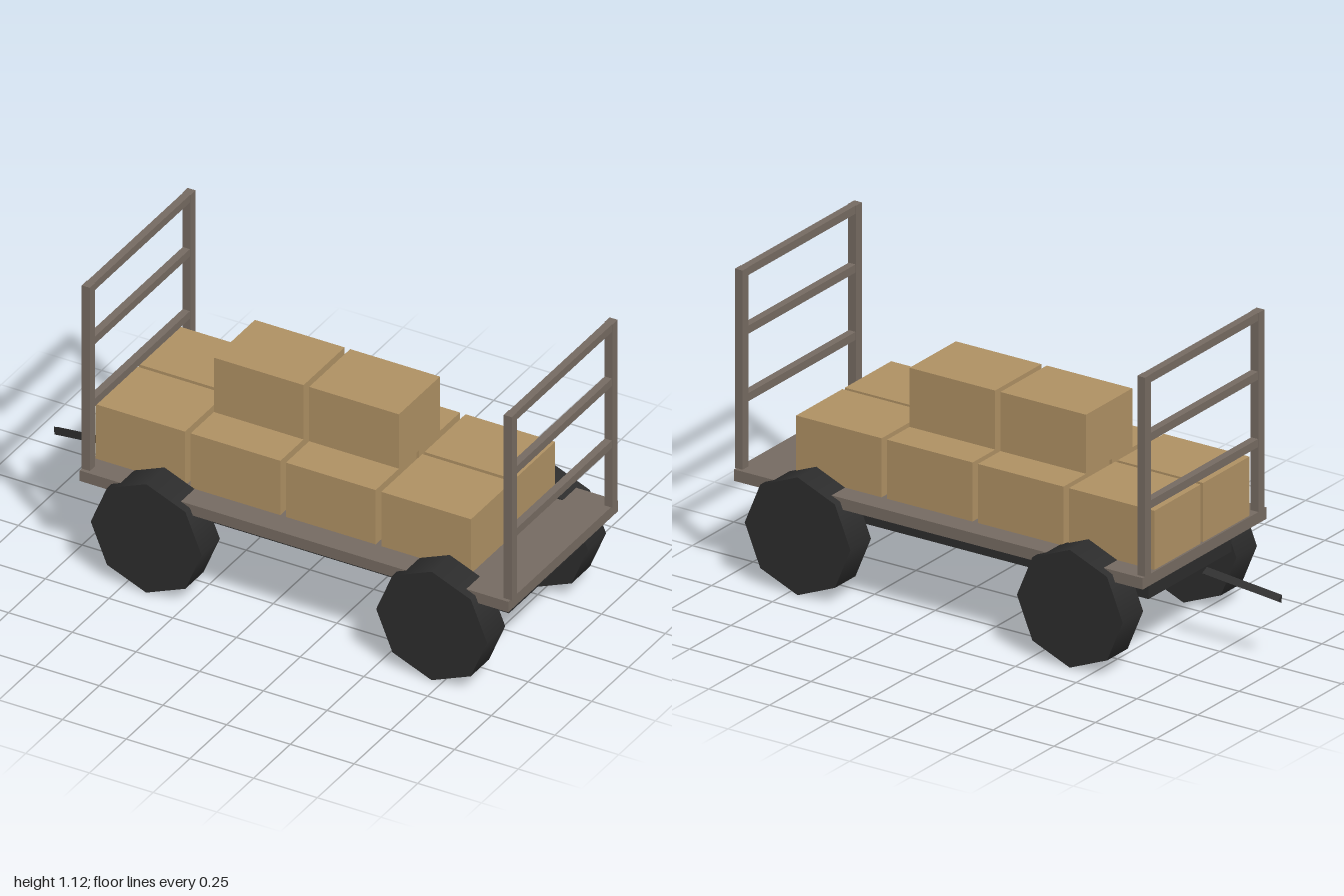
import * as THREE from 'three';

function material(name, color) {
  const m = new THREE.MeshStandardMaterial({ color });
  m.name = name;
  return m;
}

export function createModel() {
  const frameGrey = material('frame grey brown', 0x756a61);
  const cardboard = material('cardboard tan', 0xae9063);
  const dark = material('dark rubber', 0x2c2c2c);

  const cart = new THREE.Group();
  cart.name = 'luggageCart';

  // Box given by its minimum and maximum on each axis
  function box(name, mat, [x0, x1], [y0, y1], [z0, z1], parent = cart) {
    const mesh = new THREE.Mesh(new THREE.BoxGeometry(x1 - x0, y1 - y0, z1 - z0), mat);
    mesh.position.set((x0 + x1) / 2, (y0 + y1) / 2, (z0 + z1) / 2);
    mesh.name = name;
    parent.add(mesh);
  }

  // Deck and chassis
  box('deck', frameGrey, [-0.688, 0.994], [0.344, 0.386], [-0.374, 0.374]);
  box('chassis', dark, [-0.627, 0.925], [0.251, 0.344], [-0.25, 0.25]);

  // Ladder-like end rails
  for (const [name, x] of [['rearRail', -0.688], ['frontRail', 0.968]]) {
    const rail = new THREE.Group();
    rail.name = name;
    const span = [x, x + 0.032];
    for (const z of [-0.36, 0.324]) box('post', frameGrey, span, [0.386, 1.121], [z, z + 0.036], rail);
    for (const y of [0.625, 0.874, 1.091]) {
      box('crossbar', frameGrey, [x + 0.002, x + 0.03], [y, y + 0.03], [-0.324, 0.324], rail);
    }
    cart.add(rail);
  }

  // Eight-sided wheels with a corner pointing up
  const radius = 0.2175;
  const wheelGeometry = new THREE.CylinderGeometry(radius, radius, 0.124, 8);
  wheelGeometry.rotateX(Math.PI / 2);
  for (const x of [-0.409, 0.711]) {
    for (const side of [-1, 1]) {
      const wheel = new THREE.Mesh(wheelGeometry, dark);
      wheel.position.set(x, radius, side * 0.343);
      wheel.name = 'wheel';
      cart.add(wheel);
    }
  }

  // Lower layer of boxes, two rows of four, with two more stacked in the middle
  for (let i = 0; i < 4; i++) {
    const x = -0.68 + i * 0.374;
    const span = [x, x + 0.352];
    box('lowerBox', cardboard, span, [0.386, 0.604], [0.002, 0.281]);
    box('lowerBox', cardboard, span, [0.386, 0.604], [-0.292, -0.013]);
    if (i === 1 || i === 2) box('upperBox', cardboard, span, [0.604, 0.822], [-0.156, 0.123]);
  }

  // Three-sided tow bar, sloping down and away from the deck
  const barGeometry = new THREE.CylinderGeometry(0.0175, 0.0175, 0.311, 3, 1, false, Math.PI).toNonIndexed();
  barGeometry.computeVertexNormals();
  const towBar = new THREE.Mesh(barGeometry, dark);
  towBar.position.set(-0.844, 0.265, 0);
  towBar.rotation.z = 0.096 - Math.PI / 2;
  towBar.name = 'towBar';
  cart.add(towBar);

  return cart;
}
